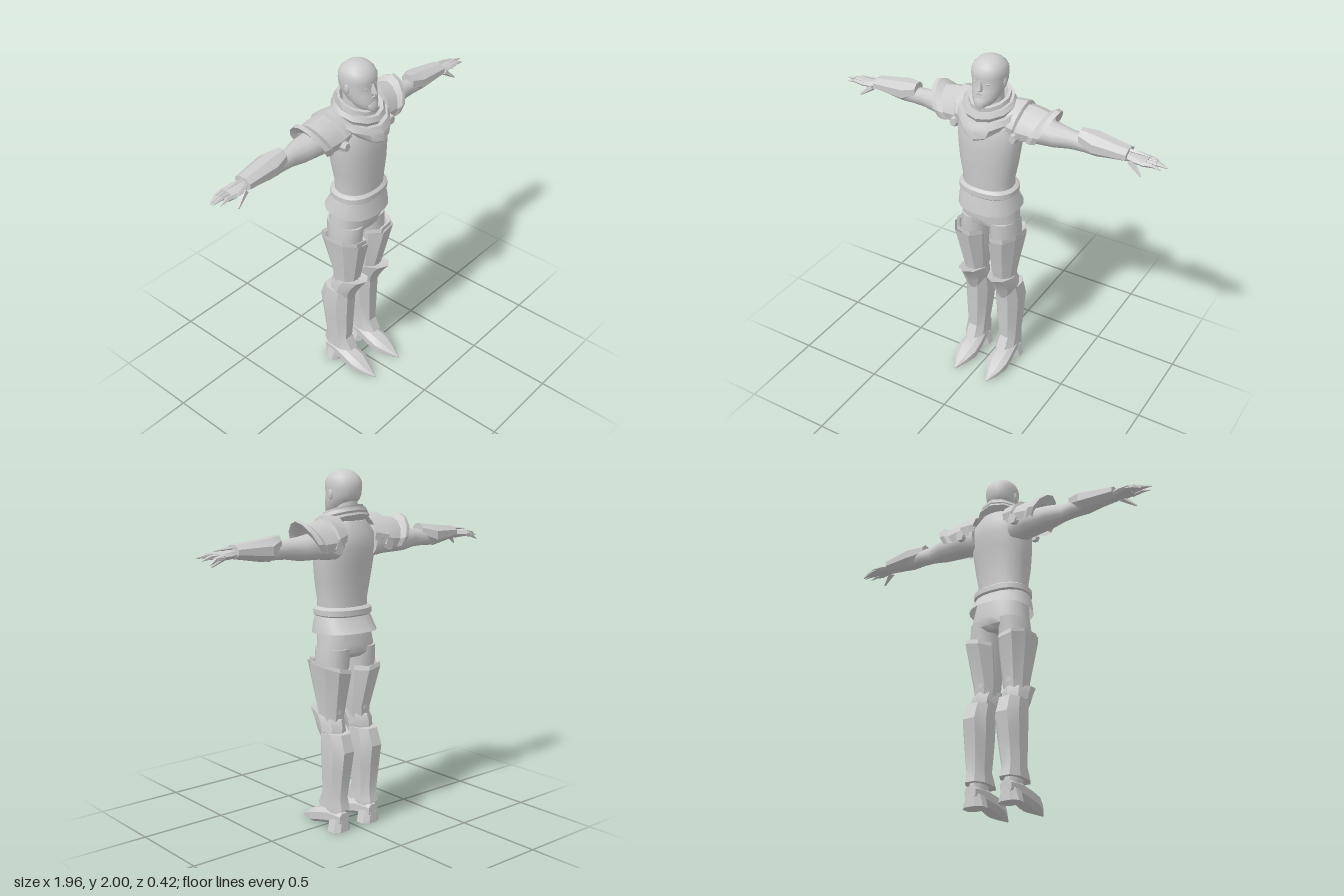
import * as THREE from 'three';
import { toCreasedNormals } from 'three/addons/utils/BufferGeometryUtils.js';

const AXES = { x: [0, 1, 2], y: [1, 0, 2], z: [2, 0, 1] };

// Skin rings along an axis. Row: [t, u0, u1, v0, v1, slope of t with v, slope of t with u].
function loft(axis, rows, { n = 16, power = 1, cap = true, crease = 0.7, arc = null, phase = 0 } = {}) {
  const [ti, ui, vi] = AXES[axis];
  const pos = [], idx = [];
  const put = (t, u, v) => {
    const p = [0, 0, 0];
    p[ti] = t; p[ui] = u; p[vi] = v;
    pos.push(...p);
  };
  const bend = (c) => Math.sign(c) * Math.abs(c) ** power;
  const reach = 2 * bend(Math.cos(phase));
  const flip = (axis === 'y') !== (rows[rows.length - 1][0] < rows[0][0]);
  const tri = (a, b, c) => (flip ? idx.push(a, c, b) : idx.push(a, b, c));
  const [a0, a1] = arc || [phase, phase + Math.PI * 2];
  const w = n + 1;
  for (const [t, u0, u1, v0, v1, sv = 0, su = 0] of rows) {
    for (let j = 0; j <= n; j++) {
      const a = a0 + ((a1 - a0) * j) / n;
      const du = (bend(Math.cos(a)) * (u1 - u0)) / reach, dv = (bend(Math.sin(a)) * (v1 - v0)) / reach;
      put(t + sv * dv + su * du, (u0 + u1) / 2 + du, (v0 + v1) / 2 + dv);
    }
  }
  for (let i = 0; i < rows.length - 1; i++) {
    for (let j = 0; j < n; j++) {
      const a = i * w + j, b = a + 1, c = b + w, d = a + w;
      tri(a, b, c); tri(a, c, d);
    }
  }
  if (cap && !arc) {
    for (const i of [0, rows.length - 1]) {
      const [t, u0, u1, v0, v1] = rows[i];
      const m = pos.length / 3;
      put(t, (u0 + u1) / 2, (v0 + v1) / 2);
      for (let j = 0; j < n; j++) i ? tri(i * w + j, i * w + j + 1, m) : tri(j + 1, j, m);
    }
  }
  const g = new THREE.BufferGeometry();
  g.setAttribute('position', new THREE.Float32BufferAttribute(pos, 3));
  g.setIndex(idx);
  return toCreasedNormals(g, crease);
}

// Tapered rod from a to b
function rod(a, b, r0, r1, n = 6) {
  const p = new THREE.Vector3(...a), q = new THREE.Vector3(...b), d = q.clone().sub(p);
  const g = new THREE.CylinderGeometry(r1, r0, d.length(), n);
  g.applyQuaternion(new THREE.Quaternion().setFromUnitVectors(new THREE.Vector3(0, 1, 0), d.clone().normalize()));
  g.translate(...p.add(q).multiplyScalar(0.5).toArray());
  return toCreasedNormals(g, 0.6);
}

function ball(c, s, n = 10) {
  return new THREE.SphereGeometry(1, n, Math.max(4, n - 2)).scale(...s).translate(...c).toNonIndexed();
}

// Copy to the other side in x and restore the corner order
function mirror(geo) {
  const g = geo.clone();
  for (const name of ['position', 'normal']) {
    const at = g.getAttribute(name);
    for (let i = 0; i < at.count; i += 3) {
      const v = [0, 2, 1].map((k) => [-at.getX(i + k), at.getY(i + k), at.getZ(i + k)]);
      v.forEach((p, k) => at.setXYZ(i + k, ...p));
    }
  }
  return g;
}

// Symmetric vertical rows: [y, half width, z back, z front, slope]
const sym = (rows) => rows.map(([y, w, b, f, s = 0]) => [y, -w, w, b, f, s]);

export function createModel() {
  const model = new THREE.Group();
  const grey = new THREE.MeshStandardMaterial({ color: 0xcccccc, side: THREE.DoubleSide });
  grey.name = 'grey';
  const add = (name, geo) => {
    const m = new THREE.Mesh(geo, grey);
    m.name = name;
    model.add(m);
  };
  const pair = (name, geo) => {
    add('left' + name, geo);
    add('right' + name, mirror(geo));
  };
  const plate = { n: 8, crease: 0.45, phase: Math.PI / 8, power: 0.85 };

  // Torso, belt and skirt
  add('torso', loft('y', sym([[1.18, 0.15, -0.12, 0.1], [1.3, 0.147, -0.12, 0.106], [1.4, 0.166, -0.13, 0.111],
    [1.5, 0.178, -0.145, 0.112], [1.58, 0.184, -0.16, 0.11], [1.66, 0.175, -0.16, 0.09], [1.73, 0.11, -0.13, 0.05]]),
  { n: 24, power: 0.9 }));
  add('belt', loft('y', sym([[1.21, 0.155, -0.13, 0.11], [1.22, 0.168, -0.142, 0.12], [1.25, 0.168, -0.142, 0.12],
    [1.264, 0.15, -0.125, 0.106]]), { n: 24, power: 0.85 }));
  add('skirt', loft('y', sym([[1.12, 0.18, -0.185, 0.13, -0.05], [1.16, 0.174, -0.16, 0.122], [1.215, 0.16, -0.13, 0.112]]),
    { n: 20, power: 0.85, cap: false }));
  add('hips', loft('y', sym([[0.985, 0.11, -0.12, 0.05], [1.01, 0.172, -0.145, 0.078], [1.06, 0.168, -0.15, 0.086],
    [1.2, 0.15, -0.12, 0.09]]), { n: 20, power: 0.85 }));

  // Head, neck and face
  add('neck', loft('y', sym([[1.66, 0.07, -0.11, 0.03], [1.84, 0.06, -0.1, 0.03]])));
  add('head', loft('y', sym([[1.745, 0.03, 0.03, 0.085], [1.77, 0.058, -0.02, 0.098], [1.8, 0.074, -0.07, 0.095],
    [1.84, 0.085, -0.105, 0.088], [1.865, 0.089, -0.117, 0.08], [1.905, 0.093, -0.122, 0.086], [1.935, 0.092, -0.118, 0.082],
    [1.96, 0.082, -0.104, 0.067], [1.982, 0.06, -0.078, 0.042], [1.995, 0.033, -0.05, 0.012], [2, 0.004, -0.022, -0.015]]),
  { n: 24, power: 0.92, crease: 1.2 }));
  add('nose', loft('y', sym([[1.838, 0.012, 0.07, 0.096], [1.848, 0.017, 0.07, 0.112], [1.875, 0.01, 0.065, 0.1],
    [1.9, 0.008, 0.06, 0.088]]), { n: 8, crease: 1 }));
  add('beard', loft('y', sym([[1.738, 0.02, 0.06, 0.1], [1.76, 0.036, 0.04, 0.108], [1.785, 0.044, 0.04, 0.104],
    [1.8, 0.036, 0.04, 0.098]]), { n: 12, crease: 1 }));
  pair('Moustache', rod([0, 1.828, 0.088], [0.032, 1.808, 0.08], 0.008, 0.005));
  pair('Brow', rod([0.012, 1.9, 0.08], [0.058, 1.902, 0.06], 0.008, 0.006));
  pair('Eye', ball([0.035, 1.878, 0.068], [0.015, 0.007, 0.01], 8));
  pair('Ear', ball([0.088, 1.87, -0.015], [0.009, 0.03, 0.017], 8));

  // Wrapped scarf, lower in front
  add('scarf', loft('y', sym([[1.655, 0.1, -0.12, 0.15, -0.55], [1.672, 0.135, -0.14, 0.165, -0.5], [1.705, 0.172, -0.155, 0.16, -0.4],
    [1.728, 0.165, -0.15, 0.14, -0.35], [1.722, 0.138, -0.135, 0.118, -0.35], [1.745, 0.15, -0.148, 0.132, -0.32],
    [1.768, 0.135, -0.145, 0.122, -0.3], [1.762, 0.116, -0.13, 0.1, -0.3], [1.785, 0.112, -0.135, 0.102, -0.3],
    [1.786, 0.094, -0.12, 0.082, -0.3], [1.73, 0.06, -0.1, 0.05, -0.2]]), { n: 12, crease: 0.6, power: 1.08, cap: false }));

  // Arms
  pair('Arm', loft('x', [[0.12, 1.52, 1.7, -0.16, 0.02], [0.22, 1.535, 1.69, -0.16, 0.005], [0.36, 1.54, 1.668, -0.16, -0.018],
    [0.45, 1.555, 1.658, -0.13, -0.04], [0.52, 1.558, 1.65, -0.14, -0.04], [0.6, 1.555, 1.65, -0.14, -0.04],
    [0.78, 1.585, 1.635, -0.115, -0.05]], { n: 12 }));
  pair('Bracer', loft('x', [[0.5, 1.6, 1.685, -0.125, -0.045], [0.58, 1.558, 1.675, -0.168, -0.03],
    [0.77, 1.587, 1.653, -0.135, -0.03]], { ...plate, power: 1 }));
  pair('Palm', loft('x', [[0.75, 1.588, 1.632, -0.115, -0.05], [0.81, 1.582, 1.632, -0.138, -0.035],
    [0.87, 1.588, 1.62, -0.142, -0.033]], { n: 8, crease: 0.6 }));

  // Fingers, thumb and cuff spike
  [[-0.127, 0.94, 1.57], [-0.1, 0.965, 1.59], [-0.075, 0.978, 1.602], [-0.048, 0.955, 1.6]].forEach(([z, tip, y], i) => {
    const mid = [(0.86 + tip) / 2, (1.608 + y) / 2 + 0.006, z];
    pair(`Finger${i + 1}`, rod([0.85, 1.604, z], mid, 0.014, 0.012, 5));
    pair(`Fingertip${i + 1}`, rod(mid, [tip, y, z + (z + 0.085) * 0.15], 0.012, 0.002, 5));
  });
  pair('Thumb', rod([0.79, 1.6, -0.05], [0.86, 1.545, -0.025], 0.02, 0.005, 5));
  pair('CuffSpike', rod([0.75, 1.64, -0.085], [0.885, 1.632, -0.085], 0.012, 0.002, 4));

  // Layered shoulder plates with a ridged top
  const arch = { n: 8, arc: [-Math.PI * 0.62, Math.PI * 0.62], crease: 0.45, power: 1.2 };
  pair('ShoulderPlate', loft('x', [[0.13, 1.52, 1.75, -0.185, 0.06, 0, 0.2], [0.2, 1.5, 1.742, -0.2, 0.045, 0, 0.3],
    [0.29, 1.51, 1.722, -0.19, 0.035, 0, 0.45]], arch));
  pair('ShoulderRim', loft('x', [[0.255, 1.5, 1.725, -0.195, 0.04, 0, 0.45], [0.285, 1.49, 1.752, -0.208, 0.05, 0, 0.5],
    [0.315, 1.5, 1.745, -0.2, 0.044, 0, 0.5], [0.3, 1.53, 1.7, -0.17, 0.02, 0, 0.45]], arch));
  pair('InnerShoulderPlate', loft('x', [[0.1, 1.55, 1.765, -0.175, 0.06], [0.17, 1.52, 1.765, -0.2, 0.06, 0, 0.2],
    [0.18, 1.53, 1.74, -0.19, 0.05, 0, 0.2]], arch));
  for (const [side, z] of [['Front', 0.05], ['Back', -0.18]]) {
    pair(side + 'Buckle', loft('z', [[z - 0.02, 0.15, 0.205, 1.565, 1.635], [z + 0.02, 0.16, 0.2, 1.575, 1.625]],
      { n: 6, crease: 0.3 }));
  }

  // Legs and thigh plates
  pair('Leg', loft('y', [[0.5, 0.045, 0.155, -0.12, 0.01], [0.65, 0.03, 0.15, -0.1, 0.04], [0.8, 0.018, 0.168, -0.125, 0.065],
    [0.95, 0.008, 0.18, -0.14, 0.078], [1.04, 0.004, 0.17, -0.15, 0.082]], { n: 14 }));
  pair('ThighPlate', loft('y', [[0.58, 0.045, 0.15, -0.095, 0.04], [0.68, 0.028, 0.156, -0.102, 0.056],
    [0.93, 0.02, 0.196, -0.162, 0.115, 0.1, 0.2]], { ...plate, cap: false }));
  pair('ThighRim', loft('y', [[0.925, 0.02, 0.19, -0.165, 0.1, 0.1, 0.2], [0.95, 0.024, 0.19, -0.16, 0.1, 0.1, 0.2],
    [0.94, 0.03, 0.18, -0.14, 0.08, 0.1, 0.2]], { ...plate, cap: false }));

  // Knee guards with a forward peak
  pair('KneeGuard', loft('y', [[0.505, 0.06, 0.14, -0.05, 0.025], [0.57, 0.03, 0.17, -0.125, 0.058, 0.1],
    [0.62, 0.026, 0.17, -0.125, 0.09, 0.15], [0.662, 0.024, 0.165, -0.112, 0.13, 0.22], [0.655, 0.04, 0.15, -0.1, 0.06, 0.15]],
  { ...plate, power: 1, phase: 0, cap: false }));

  // Greaves and ankles
  pair('Greave', loft('y', [[0.13, 0.045, 0.168, -0.165, 0.042], [0.2, 0.052, 0.165, -0.15, 0.004], [0.35, 0.036, 0.172, -0.17, 0.01],
    [0.47, 0.028, 0.176, -0.188, 0.015], [0.565, 0.032, 0.168, -0.155, 0.022]], plate));
  pair('Ankle', loft('y', [[0.05, 0.065, 0.148, -0.15, -0.01], [0.16, 0.065, 0.15, -0.14, -0.01]], { n: 10 }));

  // Pointed shoes
  pair('Shoe', loft('z', [[-0.155, 0.075, 0.142, 0.04, 0.11], [-0.06, 0.06, 0.156, 0.03, 0.12], [0.02, 0.048, 0.166, 0.015, 0.102],
    [0.08, 0.046, 0.17, 0, 0.085], [0.14, 0.07, 0.152, 0, 0.05], [0.21, 0.106, 0.114, 0, 0.01]],
  { ...plate, power: 0.8 }));
  pair('Heel', loft('y', [[0, 0.045, 0.172, -0.158, -0.058], [0.07, 0.066, 0.15, -0.156, -0.05]], plate));

  return model;
}
